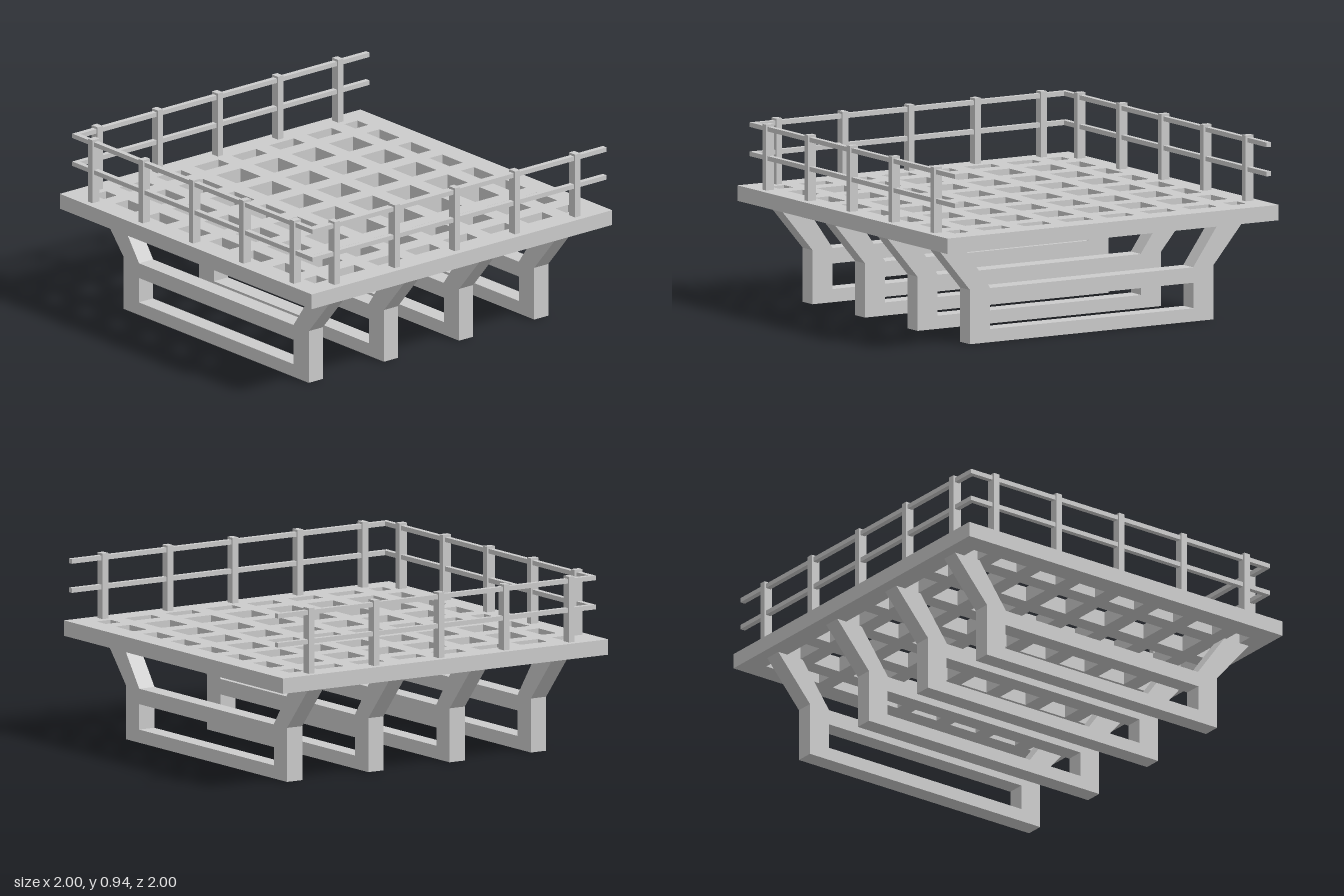
import * as THREE from 'three';

const material = new THREE.MeshStandardMaterial({ color: 0xcccccc, flatShading: true });

function polygon(points, Type = THREE.Shape) {
  return new Type(points.map(([x, y]) => new THREE.Vector2(x, y)));
}

function rectHole(x0, x1, y0, y1) {
  return polygon([[x0, y0], [x0, y1], [x1, y1], [x1, y0]], THREE.Path);
}

function extrude(shape, depth) {
  return new THREE.ExtrudeGeometry(shape, { depth, bevelEnabled: false });
}

function add(parent, name, geometry, x = 0, y = 0, z = 0) {
  const mesh = new THREE.Mesh(geometry, material);
  mesh.name = name;
  mesh.position.set(x, y, z);
  parent.add(mesh);
  return mesh;
}

function box(parent, name, w, h, d, x, y, z) {
  return add(parent, name, new THREE.BoxGeometry(w, h, d), x, y, z);
}

export function createModel() {
  const model = new THREE.Group();
  model.name = 'railedPlatform';
  const deckBottom = 0.517, deckTop = 0.597;

  // Deck: one slab pierced by an 8 x 8 lattice of openings
  const slab = polygon([[-1, -1], [1, -1], [1, 1], [-1, 1]]);
  const spans = [];
  for (let i = 0; i < 8; i++) {
    const start = i === 0 ? -0.88 : -1 + i * 0.25 + 0.044;
    const end = i === 7 ? 0.88 : -1 + (i + 1) * 0.25 - 0.044;
    spans.push([start, end]);
  }
  for (const [x0, x1] of spans) {
    for (const [y0, y1] of spans) slab.holes.push(rectHole(x0, x1, y0, y1));
  }
  const deck = add(model, 'deck', extrude(slab, deckTop - deckBottom), 0, deckBottom, 0);
  deck.rotation.x = -Math.PI / 2;

  // Support frames: splayed arms on a closed rectangular base
  const half = [[0.735, 0], [0.735, 0.28], [0.937, deckBottom], [0.782, deckBottom], [0.613, 0.28]];
  const mirrored = half.map(([x, y]) => [-x, y]).reverse();
  const frame = polygon([...half, ...mirrored]);
  frame.holes.push(rectHole(-0.615, 0.615, 0.068, 0.2));
  const frameDepth = 0.094;
  const frameGeometry = extrude(frame, frameDepth);
  for (const z of [-0.75, -0.25, 0.25, 0.75]) {
    add(model, 'supportFrame', frameGeometry, 0, 0, z - frameDepth / 2);
  }

  // Railing on the front and both sides, open at the back
  const railing = new THREE.Group();
  railing.name = 'railing';
  model.add(railing);
  const edge = 0.941, postHeight = 0.34, postY = deckTop + postHeight / 2;
  for (const p of [-0.8, -0.4, 0, 0.4, 0.8]) {
    box(railing, 'frontPost', 0.035, postHeight, 0.048, p, postY, edge);
    for (const side of [-1, 1]) {
      box(railing, 'sidePost', 0.048, postHeight, 0.035, side * edge, postY, p);
    }
  }
  const railWidth = 0.028, railHeight = 0.024, outer = edge + railWidth / 2;
  for (const y of [0.762, 0.913]) {
    box(railing, 'frontRail', 2 * (outer - railWidth), railHeight, railWidth, 0, y, edge);
    for (const side of [-1, 1]) {
      box(railing, 'sideRail', railWidth, railHeight, 1 + outer, side * edge, y, (outer - 1) / 2);
    }
  }
  return model;
}
